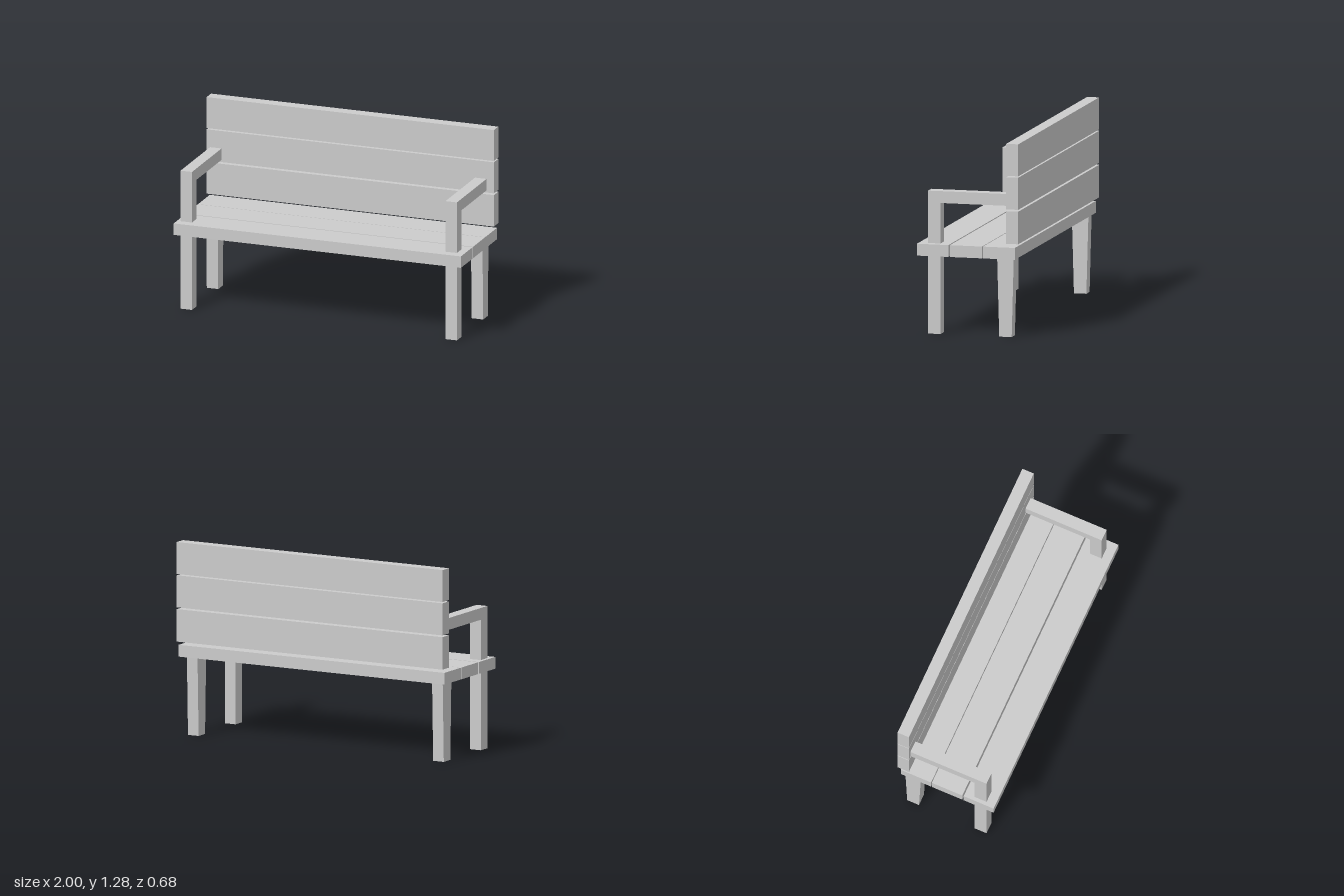
import * as THREE from 'three';

export function createModel() {
  const bench = new THREE.Group();
  bench.name = 'bench';
  const material = new THREE.MeshStandardMaterial({ color: 0xcccccc, flatShading: true });

  const add = (name, geometry) => {
    const mesh = new THREE.Mesh(geometry, material);
    mesh.name = name;
    bench.add(mesh);
  };

  // Box given by its limits on each axis
  const block = (name, [x0, x1], [y0, y1], [z0, z1]) => {
    const g = new THREE.BoxGeometry(x1 - x0, y1 - y0, z1 - z0);
    g.translate((x0 + x1) / 2, (y0 + y1) / 2, (z0 + z1) / 2);
    add(name, g);
  };

  // Side profile of [z, y] points, extruded across x and centred on x
  const profile = (name, points, x, width) => {
    const shape = new THREE.Shape(points.map(([z, y]) => new THREE.Vector2(-z, y)));
    const g = new THREE.ExtrudeGeometry(shape, { depth: width, bevelEnabled: false });
    g.translate(0, 0, -width / 2).rotateY(Math.PI / 2).translate(x, 0, 0);
    add(name, g);
  };

  // Seat planks, front to back
  const seatY = [0.519, 0.597];
  for (const z of [[0.129, 0.342], [-0.098, 0.119], [-0.319, -0.103]]) {
    block('seatPlank', [-1, 1], seatY, z);
  }

  // Backrest planks, bottom to top
  for (const y of [[0.622, 0.837], [0.849, 1.061], [1.07, 1.281]]) {
    block('backPlank', [-1, 1], y, [-0.342, -0.261]);
  }

  // Legs and armrests at each end
  const width = 0.08;
  for (const [side, x] of [['right', -0.936], ['left', 0.909]]) {
    block(side + 'FrontLeg', [x - width / 2, x + width / 2], [0, seatY[0]], [0.196, 0.281]);
    profile(side + 'BackLeg',
      [[-0.2, 0], [-0.284, 0], [-0.298, seatY[0]], [-0.186, seatY[0]]], x, width);
    profile(side + 'Armrest',
      [[0.281, seatY[1]], [0.196, seatY[1]], [0.196, 0.864], [-0.261, 0.864],
        [-0.261, 0.942], [0.281, 0.942]], x, width);
  }
  return bench;
}
